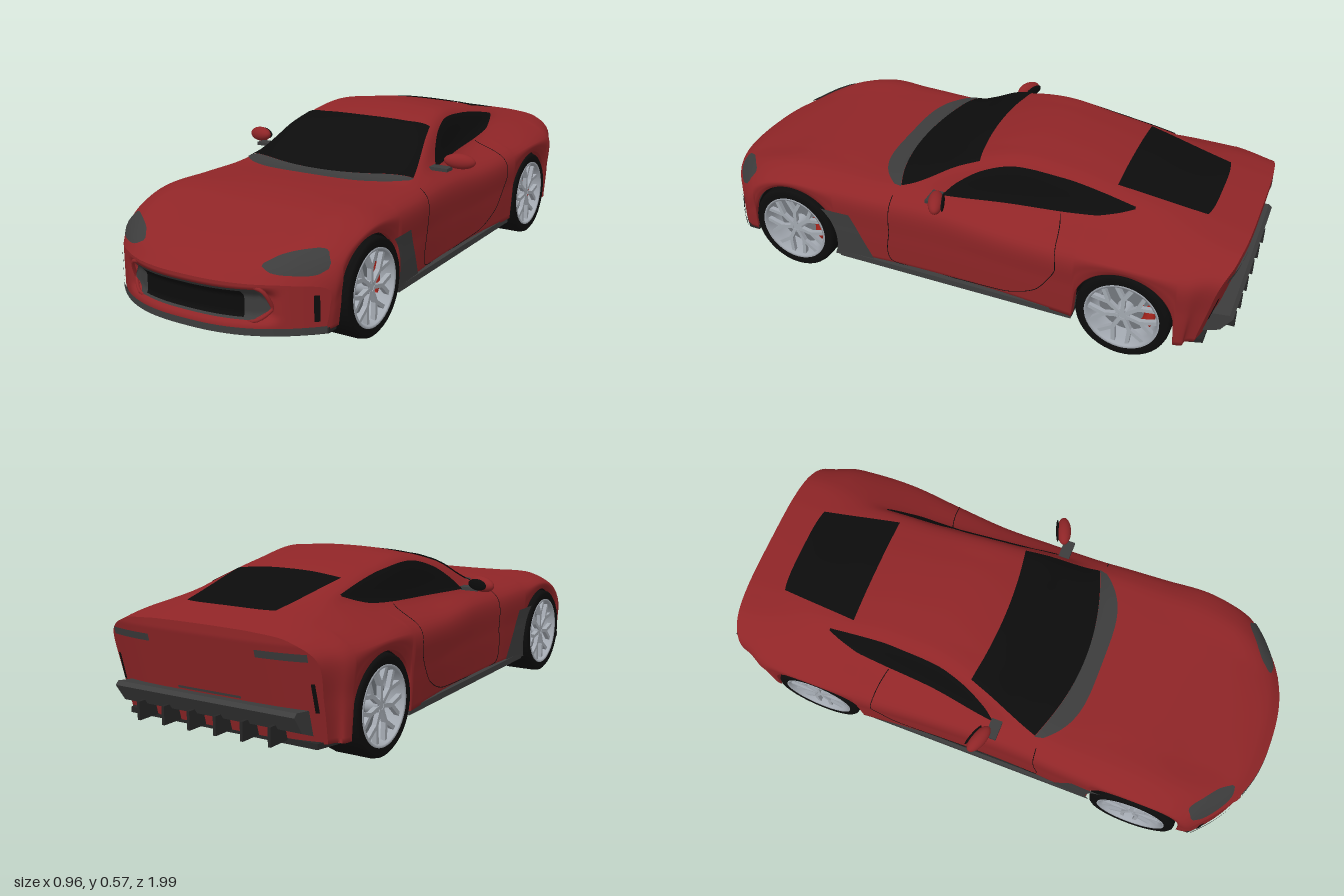
import * as THREE from 'three';

const paint = (name, color) => {
  const m = new THREE.MeshStandardMaterial({ color, side: THREE.DoubleSide });
  m.name = name;
  return m;
};
const RED = paint('body red', 0x8f2527), BLACK = paint('glass and tyre black', 0x0c0c0c);
const TRIM = paint('trim grey', 0x3c3c3c), FLOOR = paint('underbody grey', 0x262626);
const SILVER = paint('wheel silver', 0xa3a9b1), STEEL = paint('brake steel', 0x72777d), CALIPER = paint('caliper red', 0xb0261e);

const AXLES = [0.61, -0.637], WHEEL_R = 0.162, ARCH_R = 0.172, TAIL = -0.98;
const { lerp, clamp, smoothstep } = THREE.MathUtils;

// Smooth interpolation through rows of [position, value, value ...]
function interp(rows, s, c = 1) {
  let i = 0;
  while (i < rows.length - 2 && s > rows[i + 1][0]) i++;
  const slope = k => {
    const a = rows[Math.max(k - 1, 0)], b = rows[Math.min(k + 1, rows.length - 1)];
    return (b[c] - a[c]) / (b[0] - a[0]);
  };
  const a = rows[i], b = rows[i + 1], h = b[0] - a[0], t = clamp((s - a[0]) / h, 0, 1), q = t * t, r = q * t;
  return (2 * r - 3 * q + 1) * a[c] + (r - 2 * q + t) * h * slope(i) + (3 * q - 2 * r) * b[c] + (r - q) * h * slope(i + 1);
}

// Body stations: z, top y, roof edge x y, belt x y, widest x y
const STATIONS = [
  [-0.98, 0.432, 0.20, 0.428, 0.31, 0.412, 0.385, 0.36],
  [-0.9, 0.447, 0.20, 0.442, 0.31, 0.425, 0.408, 0.36],
  [-0.8, 0.467, 0.20, 0.460, 0.30, 0.438, 0.428, 0.362],
  [-0.6, 0.515, 0.235, 0.492, 0.275, 0.455, 0.434, 0.365],
  [-0.4, 0.555, 0.235, 0.525, 0.29, 0.43, 0.42, 0.35],
  [-0.2, 0.572, 0.245, 0.545, 0.305, 0.415, 0.405, 0.34],
  [0, 0.53, 0.28, 0.50, 0.335, 0.41, 0.40, 0.35],
  [0.1, 0.48, 0.30, 0.45, 0.345, 0.405, 0.40, 0.35],
  [0.2, 0.43, 0.29, 0.415, 0.35, 0.395, 0.403, 0.348],
  [0.28, 0.402, 0.28, 0.40, 0.35, 0.39, 0.408, 0.348],
  [0.45, 0.405, 0.25, 0.402, 0.35, 0.392, 0.415, 0.352],
  [0.6, 0.395, 0.22, 0.397, 0.34, 0.395, 0.42, 0.36],
  [0.75, 0.36, 0.22, 0.362, 0.33, 0.367, 0.415, 0.328],
  [0.87, 0.325, 0.2, 0.323, 0.32, 0.324, 0.412, 0.285],
  [0.95, 0.29, 0.2, 0.287, 0.32, 0.28, 0.408, 0.25],
  [1, 0.25, 0.2, 0.248, 0.32, 0.243, 0.40, 0.225],
];

// Sweeps the nose back at its corners and leans the tail forward at the bottom
function warp(s, x, y) {
  const f = Math.pow(Math.max(0, (s - 0.6) / 0.4), 2) * 0.19;
  const r = smoothstep(-s, 0.82, 0.98);
  return s - f * Math.pow(Math.abs(x) / 0.42, 2.5) + r * (0.25 * Math.max(0, 0.4 - y) + 0.04 * Math.pow(Math.abs(x) / 0.4, 4));
}

// Cross-section from the right sill over the top to the left sill
const SPAN = 8, N = SPAN * 12;
function section(s) {
  const [yT, xr, yr, xb, yb, xw, yw0] = [1, 2, 3, 4, 5, 6, 7].map(c => interp(STATIONS, s, c));
  let bottom = 0.1;
  const z = warp(s, xw, 0.2);
  for (const a of AXLES) {
    const d = Math.abs(z - a);
    if (d < ARCH_R) bottom = 0.16 + Math.sqrt(ARCH_R * ARCH_R - d * d);
  }
  const yw = Math.max(yw0, bottom + 0.02);
  const half = [[xr * 0.6, lerp(yT, yr, 0.25)], [xr, yr], [xb, yb], [xw, yw], [xw + 0.002, lerp(yw, bottom, 0.5)], [xw - 0.006, bottom]];
  const all = [...half.map(([x, y]) => [-x, y]).reverse(), [0, yT], ...half];
  return new THREE.CatmullRomCurve3(all.map(([x, y]) => new THREE.Vector3(x, y, 0))).getPoints(N);
}
// Walks the left half of a section to find y at x, or x at y
function lookup(s, key, out, value) {
  const p = section(s), sign = key === 'x' ? 1 : -1;
  for (let i = N / 2; i < N; i++) {
    if (sign * p[i + 1][key] >= sign * value) {
      const t = (value - p[i][key]) / (p[i + 1][key] - p[i][key] || 1);
      return lerp(p[i][out], p[i + 1][out], clamp(t, 0, 1));
    }
  }
  return p[N][out];
}
const topY = (s, x) => lookup(s, 'x', 'y', Math.abs(x));
const sideX = (s, y) => lookup(s, 'y', 'x', y);
const noseZ = (x, y) => warp(1, x, y) - 0.03 * smoothstep(y, 0.115, 0.15) * (1 - smoothstep(y, 0.2, 0.24)) * (1 - smoothstep(Math.abs(x), 0.24, 0.3));
const tailZ = (x, y) => warp(TAIL, x, y);

// Grid surface from a function of u, v in 0..1
function patch(nu, nv, f) {
  const pos = [], idx = [];
  for (let j = 0; j <= nv; j++) for (let i = 0; i <= nu; i++) pos.push(...f(i / nu, j / nv));
  for (let j = 0; j < nv; j++) for (let i = 0; i < nu; i++) {
    const a = j * (nu + 1) + i, b = a + nu + 1;
    idx.push(a, a + 1, b, b, a + 1, b + 1);
  }
  const g = new THREE.BufferGeometry();
  g.setAttribute('position', new THREE.Float32BufferAttribute(pos, 3));
  g.setIndex(idx);
  g.computeVertexNormals();
  return g;
}

function createWheel() {
  const g = new THREE.Group();
  const add = (name, geo, mat) => { const m = new THREE.Mesh(geo, mat); m.name = name; g.add(m); return m; };
  const lathe = pts => new THREE.LatheGeometry(pts.map(p => new THREE.Vector2(...p)), 40).rotateZ(-Math.PI / 2);
  add('tyre', lathe([[0.122, -0.07], [0.15, -0.075], [0.159, -0.068], [0.162, -0.055], [0.162, 0.055], [0.159, 0.068], [0.15, 0.075], [0.125, 0.07]]), BLACK);
  add('rim', lathe([[0.128, 0.07], [0.128, 0.074], [0.12, 0.072], [0.114, 0.04], [0.108, -0.07]]), SILVER);
  add('brakeDisc', new THREE.CylinderGeometry(0.092, 0.092, 0.012, 32).rotateZ(Math.PI / 2), STEEL).position.x = 0.01;
  add('caliper', new THREE.TorusGeometry(0.083, 0.02, 8, 12, 1.1).rotateZ(-0.55).rotateY(Math.PI / 2), CALIPER).position.x = 0.02;
  add('hub', new THREE.CylinderGeometry(0.024, 0.03, 0.05, 20).rotateZ(-Math.PI / 2), SILVER).position.x = 0.035;
  // Forked spokes: one stem and two branches each
  const bar = (r1, a1, r2, a2) => {
    const p = new THREE.Vector2(r1 * Math.cos(a1), r1 * Math.sin(a1)), q = new THREE.Vector2(r2 * Math.cos(a2), r2 * Math.sin(a2));
    const m = add('spoke', new THREE.BoxGeometry(0.016, p.distanceTo(q) + 0.006, 0.013), SILVER);
    m.position.set(0.054, (p.x + q.x) / 2, (p.y + q.y) / 2);
    m.rotation.x = Math.atan2(q.y - p.y, q.x - p.x);
  };
  for (let k = 0; k < 7; k++) {
    const a = k / 7 * Math.PI * 2;
    bar(0.015, a, 0.068, a);
    for (const d of [-0.25, 0.25]) bar(0.064, a, 0.12, a + d);
  }
  return g;
}

export function createModel() {
  const car = new THREE.Group();
  car.name = 'sportsCar';
  const add = (name, geo, mat) => { const m = new THREE.Mesh(geo, mat); m.name = name; car.add(m); return m; };
  const box = (name, mat, w, h, d, x, y, z) => { const m = add(name, new THREE.BoxGeometry(w, h, d), mat); m.position.set(x, y, z); return m; };

  // Body shell with a turned-in hem, closed by nose and tail panels
  const ROWS = 260, rows = [];
  for (let j = 0; j <= ROWS; j++) {
    const s = lerp(TAIL, 1, j / ROWS), p = section(s), hem = p[N];
    rows.push([[-hem.x + 0.03, hem.y], ...p.map(q => [q.x, q.y]), [hem.x - 0.03, hem.y]].map(([x, y]) => [x, y, warp(s, x, y)]));
  }
  add('bodyShell', patch(N + 2, ROWS, (u, v) => rows[Math.round(v * ROWS)][Math.round(u * (N + 2))]), RED);
  const endPanel = (name, s, zAt) => {
    const p = section(s);
    add(name, patch(60, N / 2, (u, v) => {
      const q = p[N / 2 + Math.round(v * N / 2)], x = q.x * (2 * u - 1);
      return [x, q.y, zAt(x, q.y)];
    }), RED);
  };
  endPanel('nosePanel', 1, noseZ);
  endPanel('tailPanel', TAIL, tailZ);

  // Windscreen, cowl and rear window lie on the top of the shell
  const onTop = (name, mat, halfW, zAt) => add(name, patch(40, 20, (u, v) => {
    const x = (2 * u - 1) * halfW(v), z = zAt(2 * u - 1, v);
    return [x, topY(z, x) + 0.005, z + 0.002];
  }), mat);
  const screenBase = k => 0.268 - 0.068 * k * k;
  onTop('windscreen', BLACK, v => lerp(0.262, 0.338, v), (k, v) => lerp(-0.04 - 0.025 * k * k, screenBase(k), v));
  onTop('cowl', TRIM, v => lerp(0.342, 0.335, v), (k, v) => lerp(screenBase(k), 0.33 - 0.1 * k ** 4, v));
  onTop('rearWindow', BLACK, v => lerp(0.205, 0.17, v), (k, v) => lerp(-0.535, -0.845 + 0.012 * k ** 4, v));

  // Plates on the nose and tail faces; edges give y limits at each x
  const plate = (name, mat, x0, x1, low, high, zAt, off) => add(name, patch(32, 12, (u, v) => {
    const x = lerp(x0, x1, u), y = lerp(low(Math.abs(x)), high(Math.abs(x)), v);
    return [x, y, zAt(x, y) + off];
  }), mat);
  const flat = y => () => y;
  const grilleLow = x => 0.133 + Math.max(0, x - 0.215) * 0.75, grilleHigh = x => 0.232 - Math.max(0, x - 0.235) * 2.2;
  plate('grilleBezel', TRIM, -0.262, 0.262, grilleLow, grilleHigh, noseZ, 0.006);
  plate('grille', BLACK, -0.187, 0.187, flat(0.14), flat(0.225), noseZ, 0.01);
  plate('noseLip', TRIM, -0.4, 0.4, flat(0.092), flat(0.114), noseZ, 0.008);
  const ring = [[-0.215, 0.13], [0.215, 0.13], [0.264, 0.168], [0.237, 0.234], [-0.237, 0.234], [-0.264, 0.168]];
  add('grilleSurround', new THREE.TubeGeometry(new THREE.CatmullRomCurve3(
    ring.map(([x, y]) => new THREE.Vector3(x, y, noseZ(x, y))), true, 'catmullrom', 0.15), 90, 0.006, 6, true), RED);

  for (const k of [1, -1]) {
    const side = k > 0 ? 'left' : 'right';
    // Headlight, traced from the front onto the wing
    const up = [[0.225, 0.295], [0.26, 0.315], [0.32, 0.329], [0.37, 0.326], [0.392, 0.295]];
    const low = [[0.225, 0.288], [0.26, 0.273], [0.32, 0.266], [0.37, 0.266], [0.392, 0.28]];
    add(side + 'Headlight', patch(20, 10, (u, v) => {
      const x = lerp(0.225, 0.392, u), y = lerp(interp(low, x), interp(up, x), v);
      let a = 0.6, b = 1;
      for (let i = 0; i < 18; i++) { const m = (a + b) / 2; if (topY(m, x) > y) a = m; else b = m; }
      return [k * (x + 0.002), y + 0.004, warp(a, x, y) + 0.004];
    }), TRIM);
    plate(side + 'NoseDuct', BLACK, k * 0.372, k * 0.385, flat(0.13), flat(0.212), noseZ, 0.007);
    plate(side + 'Taillight', TRIM, k * 0.2, k * 0.365, flat(0.355), flat(0.378), tailZ, -0.006);
    plate(side + 'TailSlit', BLACK, k * 0.362, k * 0.374, flat(0.2), flat(0.29), tailZ, -0.006);

    // Side window and the vent behind the front wheel, traced from the side
    const winTop = [[-0.61, 0.482], [-0.5, 0.504], [-0.35, 0.526], [-0.19, 0.535], [-0.08, 0.505], [0, 0.455], [0.04, 0.415]];
    const winLow = [[-0.61, 0.476], [-0.55, 0.455], [-0.48, 0.438], [-0.3, 0.422], [0.04, 0.41]];
    add(side + 'Window', patch(50, 14, (u, v) => {
      const z = lerp(-0.61, 0.04, u), y = lerp(interp(winLow, z), interp(winTop, z), v);
      return [k * (sideX(z, y) + 0.005), y + 0.001, z];
    }), BLACK);
    add(side + 'WingVent', patch(12, 16, (u, v) => {
      const y = lerp(0.09, 0.285, v);
      const z = lerp(AXLES[0] - 0.004 - Math.sqrt(ARCH_R ** 2 - (y - 0.16) ** 2), lerp(0.285, 0.375, v), u);
      return [k * (sideX(Math.min(z, 0.43), y) + 0.006), y, z];
    }), TRIM);
    // Door seam
    const seam = [[0.22, 0.38], [0.225, 0.25], [0.215, 0.11], [-0.2, 0.115], [-0.33, 0.17], [-0.4, 0.28], [-0.39, 0.38], [-0.37, 0.42]];
    const path = new THREE.CatmullRomCurve3(seam.map(([z, y]) => new THREE.Vector3(0, y, z)), false, 'catmullrom', 0.3).getPoints(60);
    path.forEach(p => { p.x = k * sideX(p.z, p.y); });
    add(side + 'DoorSeam', new THREE.TubeGeometry(new THREE.CatmullRomCurve3(path), 120, 0.0014, 4), BLACK);

    box(side + 'Skirt', TRIM, 0.03, 0.022, 0.89, k * 0.398, 0.095, -0.015);
    // Door mirror
    const shell = add(side + 'Mirror', new THREE.SphereGeometry(1, 24, 16), RED);
    shell.scale.set(0.056, 0.027, 0.026);
    shell.position.set(k * 0.427, 0.438, 0.027);
    shell.rotation.set(0, k * 0.35, k * -0.08);
    const glass = add(side + 'MirrorGlass', new THREE.SphereGeometry(1, 20, 12), BLACK);
    glass.scale.set(0.044, 0.02, 0.006);
    glass.position.set(k * 0.42, 0.438, 0.004);
    glass.rotation.y = k * 0.35;
    box(side + 'MirrorArm', TRIM, 0.07, 0.012, 0.04, k * 0.37, 0.413, 0.06);

    // Wheels and their arch liners
    AXLES.forEach((z, i) => {
      const w = createWheel();
      w.name = side + (i ? 'RearWheel' : 'FrontWheel');
      w.position.set(k * 0.355, WHEEL_R, z);
      w.scale.x = k;
      car.add(w);
      add('archLiner', new THREE.CylinderGeometry(ARCH_R, ARCH_R, 0.15, 24, 1, true, Math.PI, Math.PI).rotateZ(-Math.PI / 2), BLACK).position.set(k * 0.325, 0.16, z);
      add('archWall', new THREE.CircleGeometry(ARCH_R, 24, 0, Math.PI).rotateY(Math.PI / 2), BLACK).position.set(k * 0.25, 0.1, z);
    });
  }

  // Flat floor notched around the wheels
  const half = [];
  for (let i = 0; i <= 14; i++) half.push([0.4 * i / 14, warp(1, 0.4 * i / 14, 0.1)]);
  half.push([0.4, 0.79], [0.255, 0.79], [0.255, 0.435], [0.4, 0.435], [0.4, -0.46], [0.255, -0.46], [0.255, -0.815], [0.385, -0.815], [0.36, -0.9]);
  const outline = [...half, ...half.slice(1).reverse().map(([x, z]) => [-x, z])];
  const floor = new THREE.Shape(outline.map(p => new THREE.Vector2(...p)));
  add('floor', new THREE.ExtrudeGeometry(floor, { depth: 0.018, bevelEnabled: false }).rotateX(Math.PI / 2), FLOOR).position.y = 0.106;

  // Rear diffuser with fins
  const profile = [[0.88, 0.2], [0.97, 0.212], [0.982, 0.2], [0.945, 0.145], [0.82, 0.095], [0.82, 0.15]];
  const diffuser = new THREE.Shape(profile.map(p => new THREE.Vector2(...p)));
  add('diffuser', new THREE.ExtrudeGeometry(diffuser, { depth: 0.68, bevelEnabled: false }).rotateY(Math.PI / 2), TRIM).position.x = -0.34;
  for (let i = 0; i < 6; i++) box('diffuserFin', FLOOR, 0.01, 0.06, 0.13, -0.25 + i * 0.1, 0.13, -0.915);
  plate('plateRecess', TRIM, -0.12, 0.12, flat(0.214), flat(0.222), tailZ, -0.006);
  return car;
}
